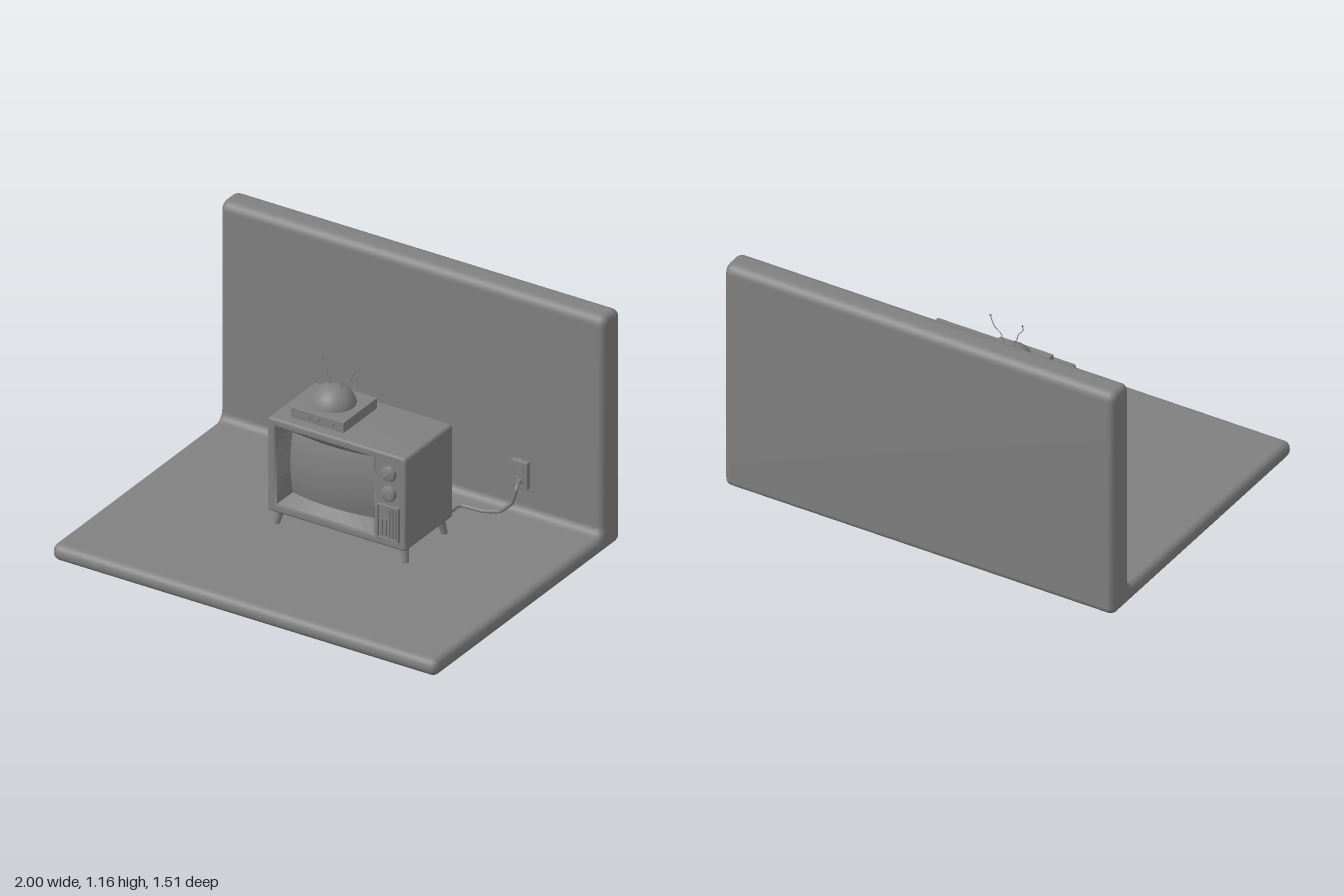
import * as THREE from 'three';
import { mergeVertices, toCreasedNormals } from 'three/addons/utils/BufferGeometryUtils.js';
import { RoundedBoxGeometry } from 'three/addons/geometries/RoundedBoxGeometry.js';

const grey = new THREE.MeshStandardMaterial({ color: 0x808080 });
const greyTwoSided = new THREE.MeshStandardMaterial({ color: 0x808080, side: THREE.DoubleSide });
const V = (x, y, z) => new THREE.Vector3(x, y, z);

export function createModel() {
  const model = new THREE.Group();

  const add = (name, geo, x = 0, y = 0, z = 0, parent = model, mat = grey) => {
    const mesh = new THREE.Mesh(geo, mat);
    mesh.name = name;
    mesh.position.set(x, y, z);
    parent.add(mesh);
    return mesh;
  };
  const group = (name, x = 0, y = 0, z = 0) => {
    const g = new THREE.Group();
    g.name = name;
    g.position.set(x, y, z);
    model.add(g);
    return g;
  };
  // box given by its limits
  const block = (name, x0, x1, y0, y1, z0, z1, parent = model, r = 0) => {
    const size = [x1 - x0, y1 - y0, z1 - z0];
    const geo = r ? new RoundedBoxGeometry(...size, 2, r) : new THREE.BoxGeometry(...size);
    return add(name, geo, (x0 + x1) / 2, (y0 + y1) / 2, (z0 + z1) / 2, parent);
  };
  const tube = (name, points, radius, tension = 0.5) => add(name, new THREE.TubeGeometry(
    new THREE.CatmullRomCurve3(points, false, 'catmullrom', tension), points.length * 8, radius, 8));
  // closed outline with every corner rounded; corners are [x, y, radius]
  const roundedShape = (corners) => {
    const shape = new THREE.Shape(), n = corners.length;
    corners.forEach(([x, y, r], i) => {
      const p = new THREE.Vector2(x, y);
      const toward = ([cx, cy], d) => new THREE.Vector2(cx, cy).sub(p).setLength(d).add(p);
      const prev = corners[(i + n - 1) % n], next = corners[(i + 1) % n];
      const a = toward(prev, r), b = toward(next, r);
      const c = toward(prev, r * 0.448), d = toward(next, r * 0.448);
      if (i) shape.lineTo(a.x, a.y); else shape.moveTo(a.x, a.y);
      shape.bezierCurveTo(c.x, c.y, d.x, d.y, b.x, b.y);
    });
    shape.closePath();
    return shape;
  };
  // bevelled extrusion; area-weighted normals keep large faces flat and edges soft
  const extrude = (shape, length, bevel, segments) => {
    const geo = new THREE.ExtrudeGeometry(shape, {
      depth: length - 2 * bevel, bevelSize: bevel, bevelThickness: bevel,
      bevelOffset: -bevel, bevelSegments: segments, curveSegments: 6,
    });
    geo.translate(0, 0, bevel - length / 2);
    geo.deleteAttribute('uv');
    geo.deleteAttribute('normal');
    const merged = mergeVertices(geo, 1e-5);
    merged.computeVertexNormals();
    return merged;
  };

  // floor and wall as one L-shaped slab
  const profile = roundedShape([
    [-0.755, 0, 0.038], [0.755, 0, 0.038], [0.755, 1.165, 0.045],
    [0.612, 1.165, 0.045], [0.612, 0.081, 0.04], [-0.755, 0.081, 0.038],
  ]);
  add('floorAndWall', extrude(profile, 2, 0.032, 4).rotateY(Math.PI / 2));

  // television cabinet, open at the front
  const tv = group('television');
  const cabinet = roundedShape([
    [-0.303, 0.151, 0.018], [0.419, 0.151, 0.018], [0.419, 0.618, 0.018], [-0.303, 0.618, 0.018],
  ]);
  const opening = [[-0.257, 0.192], [-0.257, 0.577], [0.252, 0.577], [0.252, 0.192]];
  cabinet.holes.push(new THREE.Path(opening.map(([x, y]) => new THREE.Vector2(x, y))));
  add('cabinet', extrude(cabinet, 0.385, 0.012, 3), 0, 0, -0.106, tv);
  block('cabinetBack', -0.267, 0.262, 0.182, 0.587, -0.297, -0.28, tv);

  // bulging glass, and a sloping surround that meets its edge
  const inner = [[-0.222, 0.226], [-0.222, 0.532], [0.213, 0.532], [0.213, 0.226]];
  const bulge = (x, y) => 0.05 - 0.026 * ((x + 0.0045) / 0.2175) ** 2 - 0.02 * ((y - 0.379) / 0.153) ** 2;
  const glass = new THREE.PlaneGeometry(0.435, 0.306, 20, 16).translate(-0.0045, 0.379, 0);
  const gp = glass.attributes.position;
  for (let i = 0; i < gp.count; i++) gp.setZ(i, bulge(gp.getX(i), gp.getY(i)));
  glass.computeVertexNormals();
  add('screen', glass, 0, 0, 0, tv);

  const bezel = [], steps = 10;
  const along = (loop, i, t) => [0, 1].map((k) => THREE.MathUtils.lerp(loop[i][k], loop[(i + 1) % 4][k], t));
  for (let i = 0; i < 4; i++) {
    for (let s = 0; s < steps; s++) {
      const outerPoint = (t) => [...along(opening, i, t), 0.079];
      const innerPoint = (t) => { const p = along(inner, i, t); return [...p, bulge(...p)]; };
      const t0 = s / steps, t1 = (s + 1) / steps;
      bezel.push(...outerPoint(t0), ...outerPoint(t1), ...innerPoint(t1));
      bezel.push(...outerPoint(t0), ...innerPoint(t1), ...innerPoint(t0));
    }
  }
  const bezelGeo = new THREE.BufferGeometry();
  bezelGeo.setAttribute('position', new THREE.Float32BufferAttribute(bezel, 3));
  bezelGeo.computeVertexNormals();
  add('screenSurround', bezelGeo, 0, 0, 0, tv, greyTwoSided);

  // dials with a slanted grip
  const dialProfile = [[0.036, 0], [0.037, 0.014], [0.033, 0.023], [0.029, 0.025], [0, 0.025]]
    .map(([x, y]) => new THREE.Vector2(x, y));
  const dialGeo = toCreasedNormals(new THREE.LatheGeometry(dialProfile, 28).rotateX(Math.PI / 2), 0.6);
  [[0.525, 0.7], [0.426, -0.7]].forEach(([y, turn]) => {
    const dial = group('dial', 0.336, y, 0.086);
    add('dialDisc', dialGeo, 0, 0, 0, dial);
    add('dialGrip', new RoundedBoxGeometry(0.056, 0.012, 0.012, 2, 0.003), 0, 0, 0.026, dial)
      .rotation.z = turn;
  });

  // control panel: frame, keys and slats
  const panel = group('controlPanel');
  block('panelBase', 0.277, 0.389, 0.196, 0.365, 0.08, 0.094, panel);
  for (const x of [0.277, 0.382]) block('panelSide', x, x + 0.007, 0.196, 0.365, 0.09, 0.104, panel);
  for (const y of [0.196, 0.358]) block('panelEdge', 0.277, 0.389, y, y + 0.007, 0.09, 0.104, panel);
  for (const x of [0.293, 0.313]) block('panelKey', x, x + 0.013, 0.213, 0.292, 0.09, 0.102, panel);
  for (const x of [0.338, 0.353, 0.368]) block('panelSlat', x, x + 0.007, 0.206, 0.356, 0.09, 0.103, panel);

  // splayed tapering legs
  for (const [sx, x] of [[-1, -0.26], [1, 0.38]]) {
    for (const [sz, z] of [[1, 0.038], [-1, -0.25]]) {
      const top = V(x, 0.162, z), foot = V(x + sx * 0.016, 0.08, z + sz * 0.014);
      const axis = top.clone().sub(foot);
      const leg = add('leg', new THREE.CylinderGeometry(0.021, 0.014, axis.length(), 16),
        ...top.add(foot).multiplyScalar(0.5).toArray(), tv);
      leg.quaternion.setFromUnitVectors(V(0, 1, 0), axis.normalize());
    }
  }

  // aerial box with knobs, dome and two bent rods
  block('aerialBox', -0.214, 0.06, 0.614, 0.668, -0.242, 0.032, model, 0.002);
  block('aerialSlot', -0.193, -0.118, 0.634, 0.651, 0.03, 0.034);
  for (const x of [-0.075, 0.002]) {
    add('aerialKnob', new THREE.CylinderGeometry(0.009, 0.01, 0.014, 16).rotateX(Math.PI / 2), x, 0.645, 0.036);
  }
  add('dome', new THREE.SphereGeometry(0.104, 32, 16, 0, Math.PI * 2, 0, Math.PI / 2), -0.081, 0.649, -0.108);
  const rods = [
    [V(-0.091, 0.735, -0.108), V(-0.1, 0.766, -0.109), V(-0.116, 0.801, -0.111),
      V(-0.124, 0.826, -0.113), V(-0.146, 0.851, -0.115), V(-0.145, 0.876, -0.116)],
    [V(-0.051, 0.735, -0.108), V(-0.038, 0.761, -0.105), V(-0.026, 0.786, -0.1),
      V(0.009, 0.808, -0.095), V(0.026, 0.831, -0.09), V(0.037, 0.856, -0.087)],
  ];
  for (const points of rods) {
    tube('aerialRod', points, 0.002);
    add('aerialTip', new THREE.SphereGeometry(0.005, 12, 8), ...points[points.length - 1].toArray());
  }

  // wall socket with two outlets
  block('socketPlate', 0.53, 0.617, 0.209, 0.343, -0.615, -0.588, model, 0.003);
  for (const y of [0.249, 0.307]) {
    block('outlet', 0.548, 0.599, y - 0.02, y + 0.02, -0.59, -0.585);
    for (const x of [0.564, 0.583]) block('outletSlot', x - 0.003, x + 0.003, y - 0.004, y + 0.012, -0.586, -0.583);
  }
  add('plug', new THREE.CylinderGeometry(0.012, 0.015, 0.014, 16).rotateX(Math.PI / 2), 0.58, 0.247, -0.58);

  // power cable from the cabinet to the plug
  tube('cable', [
    V(0.332, 0.212, -0.29), V(0.332, 0.21, -0.324), V(0.33, 0.176, -0.342), V(0.323, 0.095, -0.428),
    V(0.319, 0.09, -0.485), V(0.337, 0.09, -0.505), V(0.44, 0.09, -0.513), V(0.52, 0.11, -0.52),
    V(0.577, 0.163, -0.525), V(0.598, 0.233, -0.53), V(0.594, 0.247, -0.543), V(0.58, 0.247, -0.58),
  ], 0.009, 0.2);

  return model;
}
